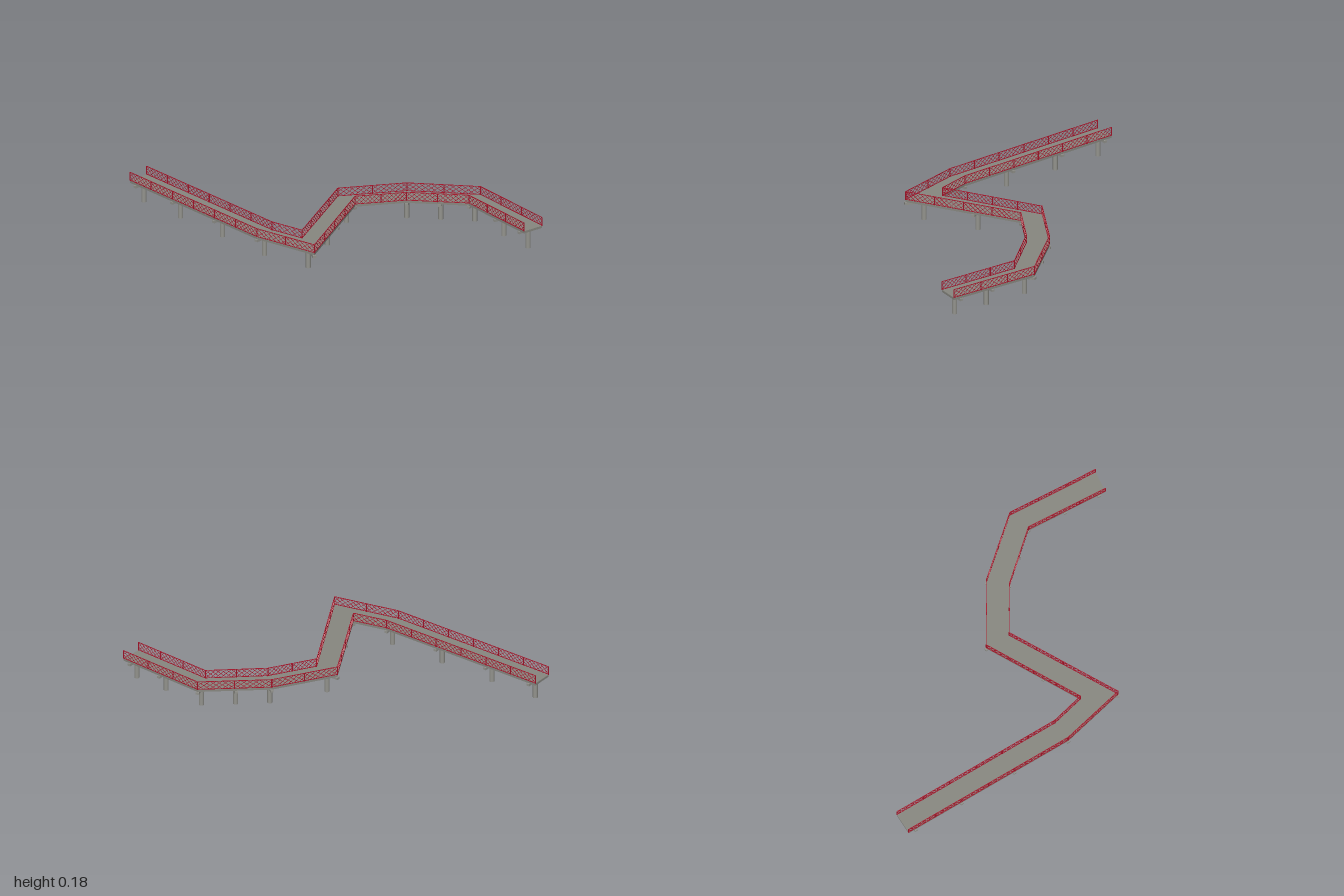
import * as THREE from 'three';
import { mergeGeometries } from 'three/addons/utils/BufferGeometryUtils.js';

// Both edges of the walkway in plan, as [x, z], from the left-hand end
const EDGE_A = [[-0.995, 0.465], [0.01, 0.503], [0.202, 0.465], [-0.057, -0.065], [0.157, -0.38], [0.474, -0.628], [0.998, -0.575]];
const EDGE_B = [[-0.999, 0.585], [0.015, 0.625], [0.387, 0.555], [0.085, -0.055], [0.245, -0.29], [0.51, -0.502], [0.982, -0.455]];
const DECK_BOTTOM = 0.114, DECK_TOP = 0.127, RAIL_TOP = 0.177, BEAM_BOTTOM = 0.1;

// Supports between the bends: [segment, position along it]
const MID_SUPPORTS = [[0, 0.045], [0, 0.335], [0, 0.667], [2, 0.5], [4, 0.5], [5, 0.5], [5, 0.915]];

const v3 = ([x, z], y) => new THREE.Vector3(x, y, z);

// Square bar between two points
function bar(a, b, w, h = w) {
  const g = new THREE.BoxGeometry(w, h, a.distanceTo(b));
  const o = new THREE.Object3D();
  o.position.copy(a).add(b).multiplyScalar(0.5);
  o.lookAt(b);
  o.updateMatrix();
  return g.applyMatrix4(o.matrix);
}

// Framed lattice railing along one edge
function railingGeometry(edge) {
  const parts = [];
  const yLow = DECK_TOP + 0.003;
  for (let i = 0; i < edge.length - 1; i++) {
    const p = v3(edge[i], 0), q = v3(edge[i + 1], 0);
    const at = (t, y) => p.clone().lerp(q, t).setY(y);
    const panels = Math.max(1, Math.round(p.distanceTo(q) / 0.168));

    parts.push(bar(at(0, RAIL_TOP), at(1, RAIL_TOP), 0.003));
    parts.push(bar(at(0, yLow), at(1, yLow), 0.003));

    const steps = 6, span = 2;
    for (let k = 0; k < panels; k++) {
      parts.push(bar(at(k / panels, DECK_TOP), at(k / panels, RAIL_TOP), 0.004));
      // Crossing diagonals, cut off at the panel posts
      for (let s = 1 - span; s < steps; s++) {
        const s0 = Math.max(s, 0), s1 = Math.min(s + span, steps);
        const f0 = (s0 - s) / span, f1 = (s1 - s) / span;
        const t0 = (k + s0 / steps) / panels, t1 = (k + s1 / steps) / panels;
        const y = f => THREE.MathUtils.lerp(yLow, RAIL_TOP, f);
        parts.push(bar(at(t0, y(f0)), at(t1, y(f1)), 0.002));
        parts.push(bar(at(t0, y(1 - f0)), at(t1, y(1 - f1)), 0.002));
      }
    }
  }
  const last = edge[edge.length - 1];
  parts.push(bar(v3(last, DECK_TOP), v3(last, RAIL_TOP), 0.004));
  return mergeGeometries(parts);
}

export function createModel() {
  const deckGrey = new THREE.MeshStandardMaterial({ color: 0x878780 });
  deckGrey.name = 'deckGrey';
  const concrete = new THREE.MeshStandardMaterial({ color: 0x93938d });
  concrete.name = 'concrete';
  const railRed = new THREE.MeshStandardMaterial({ color: 0xa8142a });
  railRed.name = 'railRed';

  const model = new THREE.Group();
  model.name = 'footbridge';
  const add = (geometry, material, name, parent = model) => {
    const mesh = new THREE.Mesh(geometry, material);
    mesh.name = name;
    parent.add(mesh);
    return mesh;
  };

  // Deck slab
  const outline = [...EDGE_A, ...[...EDGE_B].reverse()].map(([x, z]) => new THREE.Vector2(x, -z));
  const slab = new THREE.ExtrudeGeometry(new THREE.Shape(outline), { depth: DECK_TOP - DECK_BOTTOM, bevelEnabled: false });
  slab.rotateX(-Math.PI / 2).translate(0, DECK_BOTTOM, 0);
  add(slab, deckGrey, 'deck');

  // Railings on both edges
  add(railingGeometry(EDGE_A), railRed, 'innerRailing');
  add(railingGeometry(EDGE_B), railRed, 'outerRailing');

  // Column with a crossbeam on top
  const beamY = (BEAM_BOTTOM + DECK_BOTTOM) / 2;
  const addSupport = (a, b) => {
    const support = new THREE.Group();
    support.name = 'support';
    const overhang = b.clone().sub(a).setLength(0.007);
    add(bar(a.clone().sub(overhang), b.clone().add(overhang), 0.018, DECK_BOTTOM - BEAM_BOTTOM), concrete, 'crossbeam', support);
    const column = add(new THREE.CylinderGeometry(0.014, 0.014, BEAM_BOTTOM, 16), concrete, 'column', support);
    column.position.copy(a).add(b).multiplyScalar(0.5).setY(BEAM_BOTTOM / 2);
    model.add(support);
  };

  // Supports at the bends
  for (let i = 1; i < EDGE_A.length - 1; i++) addSupport(v3(EDGE_A[i], beamY), v3(EDGE_B[i], beamY));

  // Supports square to the straight runs
  const centre = i => v3(EDGE_A[i], beamY).lerp(v3(EDGE_B[i], beamY), 0.5);
  for (const [i, t] of MID_SUPPORTS) {
    const p = centre(i), q = centre(i + 1);
    const dir = q.clone().sub(p).normalize();
    const side = new THREE.Vector3(-dir.z, 0, dir.x).multiplyScalar(0.061);
    const mid = p.lerp(q, t);
    addSupport(mid.clone().sub(side), mid.clone().add(side));
  }
  return model;
}
